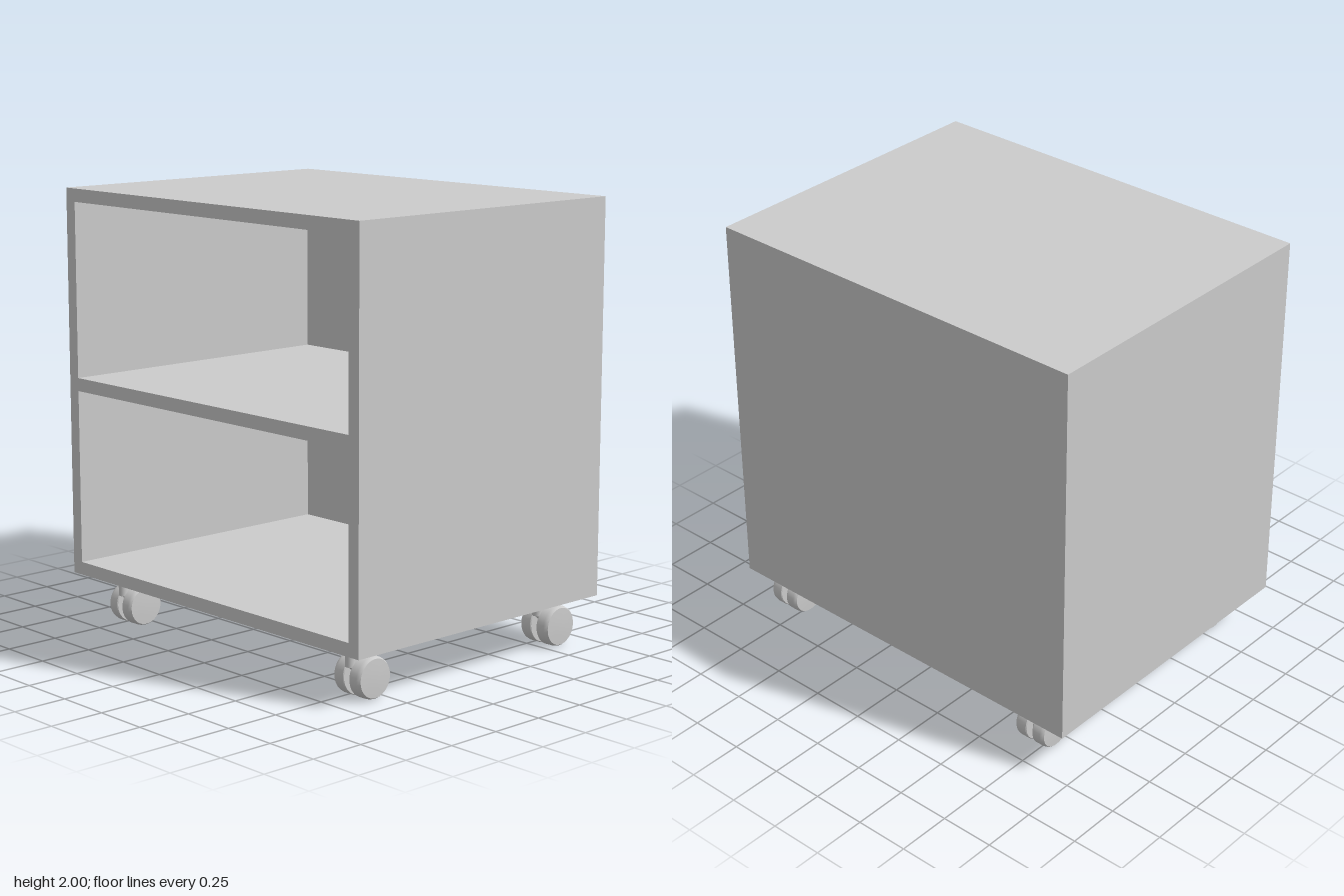
import * as THREE from 'three';
import { toCreasedNormals } from 'three/addons/utils/BufferGeometryUtils.js';

const material = new THREE.MeshStandardMaterial({ color: 0xcccccc });

const W = 1.466, D = 1.91, T = 0.06; // cabinet width, depth, board thickness
const BASE = 0.22, TOP = 2;

function add(parent, name, geometry, x, y, z) {
  const mesh = new THREE.Mesh(geometry, material);
  mesh.name = name;
  mesh.position.set(x, y, z);
  parent.add(mesh);
  return mesh;
}

// One wheel half: flat inner face, straight tread, slightly domed outer cap
function wheelGeometry() {
  const profile = [
    [0, 0.016], [0.088, 0.016], [0.0915, 0.02], [0.0915, 0.06],
    [0.088, 0.074], [0.084, 0.079], [0.045, 0.081], [0, 0.082],
  ].map(([r, h]) => new THREE.Vector2(r, h));
  const geometry = new THREE.LatheGeometry(profile, 40);
  geometry.rotateX(Math.PI / 2);
  return toCreasedNormals(geometry, 0.5);
}

// Twin-wheel caster, origin on the floor below the wheel axle
function createCaster() {
  const caster = new THREE.Group();
  caster.name = 'caster';
  const wheel = wheelGeometry();
  const axleY = 0.0915;
  add(caster, 'outerWheel', wheel, 0, axleY, 0);
  add(caster, 'innerWheel', wheel, 0, axleY, 0).rotation.y = Math.PI;
  // Hub and arm between the wheels
  const hub = new THREE.CylinderGeometry(0.053, 0.053, 0.02, 32).rotateX(Math.PI / 2);
  add(caster, 'hub', hub, 0, axleY, 0);
  add(caster, 'axle', new THREE.CylinderGeometry(0.015, 0.015, 0.04, 16).rotateX(Math.PI / 2), 0, axleY, 0);
  const arm = new THREE.BoxGeometry(0.08, 0.04, 0.02);
  add(caster, 'arm', arm, -0.04, 0.135, 0).rotation.z = -0.7;
  // Swivel stem, offset from the axle
  add(caster, 'stem', new THREE.CylinderGeometry(0.0225, 0.0225, 0.08, 24), -0.067, 0.18, 0);
  return caster;
}

export function createModel() {
  const model = new THREE.Group();
  model.name = 'rollingCabinet';
  const wallH = TOP - T - BASE;
  const innerD = D - 2 * T;

  // Top board and the full-width front and back panels
  add(model, 'topBoard', new THREE.BoxGeometry(W, T, D), 0, TOP - T / 2, 0);
  for (const [name, s] of [['frontPanel', 1], ['backPanel', -1]]) {
    add(model, name, new THREE.BoxGeometry(W, wallH, T), 0, BASE + wallH / 2, s * (D - T) / 2);
  }

  // Bottom board, closed side on +x, middle shelf; the -x side stays open
  add(model, 'bottomBoard', new THREE.BoxGeometry(W, T, innerD), 0, BASE + T / 2, 0);
  const sideH = wallH - T;
  const midY = BASE + T + sideH / 2;
  add(model, 'sidePanel', new THREE.BoxGeometry(T, sideH, innerD), (W - T) / 2, midY, 0);
  add(model, 'shelf', new THREE.BoxGeometry(W - T, T, innerD), -T / 2, midY, 0);

  // Four casters, all trailing the same way
  for (const x of [-0.567, 0.575]) {
    for (const z of [0.803, -0.714]) {
      const caster = createCaster();
      caster.position.set(x, 0, z);
      model.add(caster);
    }
  }
  return model;
}
